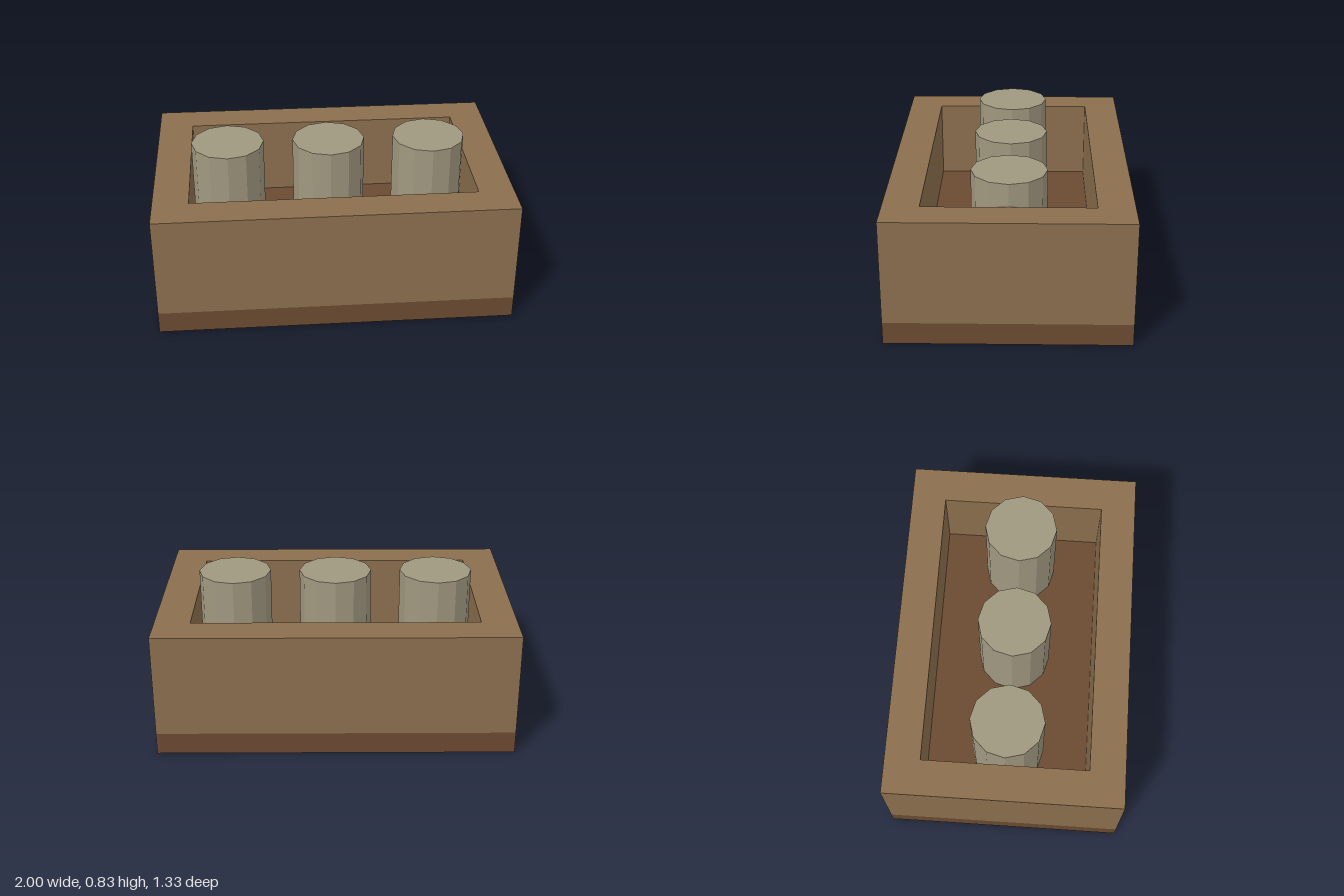
import * as THREE from 'three';

const material = (color) => new THREE.MeshStandardMaterial({ color, flatShading: true });

function addPart(group, name, geometry, mat, x, y, z) {
  const mesh = new THREE.Mesh(geometry, mat);
  mesh.name = name;
  mesh.position.set(x, y, z);
  group.add(mesh);
  return mesh;
}

// Rectangle corners, centred on the origin
const rectangle = (hx, hz) => [[-hx, -hz], [hx, -hz], [hx, hz], [-hx, hz]].map(([x, z]) => new THREE.Vector2(x, z));

export function createModel() {
  const group = new THREE.Group();
  group.name = 'planterBox';

  const halfW = 1, halfD = 0.667, wall = 0.2;
  const baseTop = 0.125, floorTop = 0.25, rimTop = 0.71, pegTop = 0.835;
  const darkWood = material(0x6b4a32);
  const lightWood = material(0x8b6f4e);
  const stone = material(0xa09880);

  // Dark base slab, with the raised floor inside the walls
  addPart(group, 'base', new THREE.BoxGeometry(halfW * 2, baseTop, halfD * 2), darkWood, 0, baseTop / 2, 0);
  const floorHeight = floorTop - baseTop;
  addPart(group, 'floor', new THREE.BoxGeometry((halfW - wall) * 2, floorHeight, (halfD - wall) * 2),
    darkWood, 0, baseTop + floorHeight / 2, 0);

  // Rectangular ring of walls
  const outline = new THREE.Shape(rectangle(halfW, halfD));
  outline.holes.push(new THREE.Path(rectangle(halfW - wall, halfD - wall).reverse()));
  const walls = new THREE.ExtrudeGeometry(outline, { depth: rimTop - baseTop, bevelEnabled: false });
  walls.rotateX(-Math.PI / 2);
  addPart(group, 'walls', walls, lightWood, 0, baseTop, 0);

  // Row of three twelve-sided posts standing on the floor
  const postHeight = pegTop - floorTop;
  const post = new THREE.CylinderGeometry(0.208, 0.208, postHeight, 12);
  ['rightPost', 'middlePost', 'leftPost'].forEach((name, i) => {
    addPart(group, name, post, stone, (i - 1) * 0.583, floorTop + postHeight / 2, 0);
  });

  return group;
}
